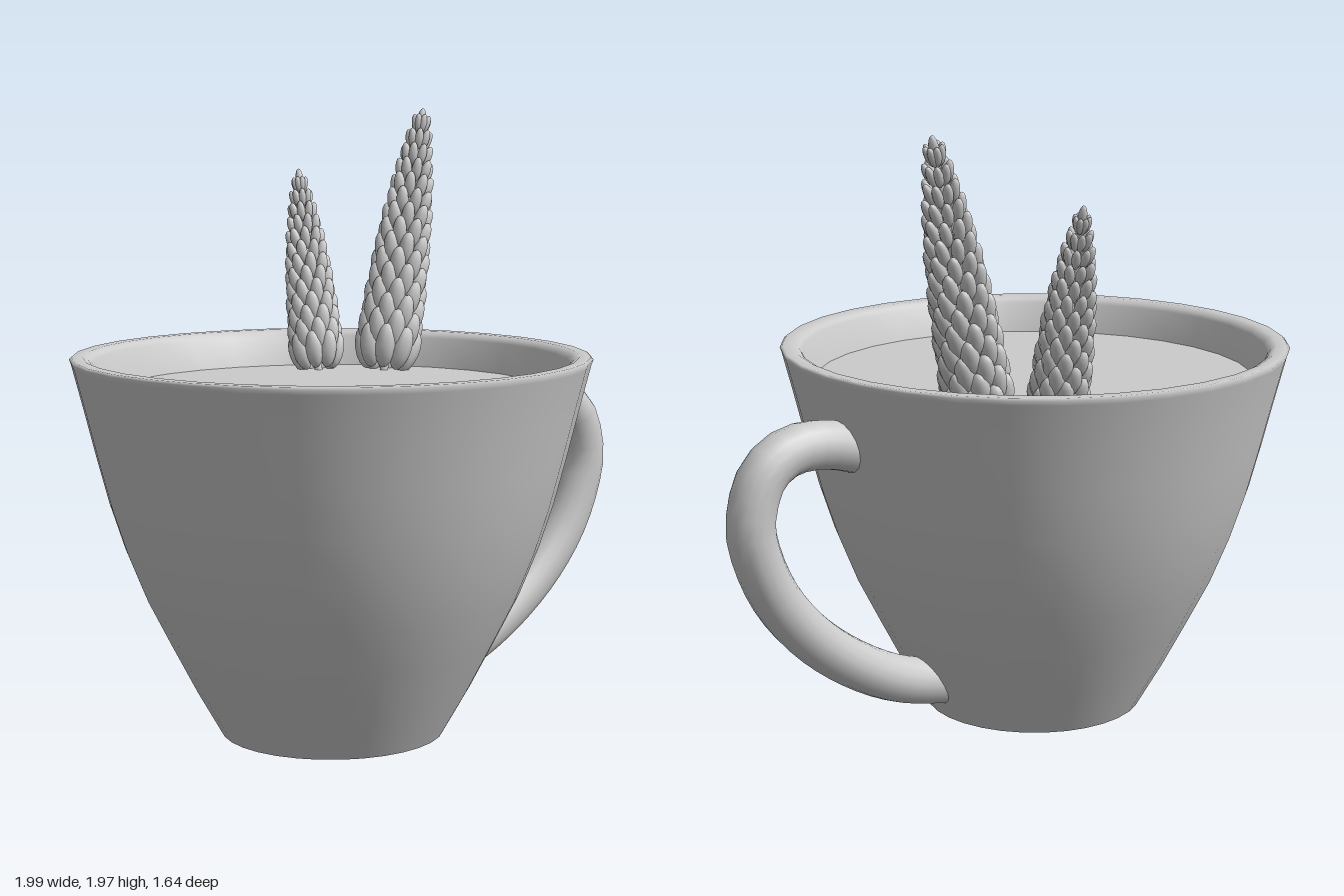
import * as THREE from 'three';

const material = new THREE.MeshStandardMaterial({ color: 0xcccccc });
const UP = new THREE.Vector3(0, 1, 0);
const CUP_X = -0.18;
const SIDES = 32;

function addMesh(parent, name, geometry) {
  const mesh = new THREE.Mesh(geometry, material);
  mesh.name = name;
  parent.add(mesh);
  return mesh;
}

const points2 = (list) => list.map(([r, y]) => new THREE.Vector2(r, y));

function createCup() {
  const cup = new THREE.Group();
  cup.name = 'cup';
  cup.position.x = CUP_X;

  // Outer wall, narrow rounded rim and inner wall in one turned profile
  addMesh(cup, 'cupWall', new THREE.LatheGeometry(points2([
    [0.355, 0], [0.44, 0.15], [0.52, 0.305], [0.593, 0.45], [0.653, 0.6],
    [0.7, 0.745], [0.738, 0.89], [0.775, 1.04], [0.812, 1.185],
    [0.818, 1.2], [0.81, 1.207], [0.775, 1.207], [0.757, 1.198], [0.748, 1.185],
    [0.705, 1.08], [0.66, 0.89], [0.58, 0.6], [0.45, 0.3], [0.34, 0.08], [0, 0.07],
  ]), SIDES));

  const base = addMesh(cup, 'cupBase', new THREE.CircleGeometry(0.355, SIDES));
  base.rotation.x = Math.PI / 2;

  const drink = addMesh(cup, 'drink', new THREE.CircleGeometry(0.71, SIDES));
  drink.rotation.x = -Math.PI / 2;
  drink.position.y = 1.09;
  return cup;
}

// Ear-shaped handle, both ends sunk into the wall
function createHandle() {
  const path = new THREE.CatmullRomCurve3([
    [0.52, 0.96], [0.6, 0.985], [0.69, 1.0], [0.79, 0.99], [0.875, 0.93],
    [0.918, 0.79], [0.893, 0.67], [0.825, 0.53], [0.705, 0.39],
    [0.54, 0.265], [0.37, 0.18], [0.19, 0.135],
  ].map(([x, y]) => new THREE.Vector3(x, y, 0)));
  return new THREE.TubeGeometry(path, 28, 0.076, 16);
}

// Flower spike: rings of upright buds that shrink toward the tip of a stem
function createSpike(name, foot, tip, radius, rings, perRing) {
  const spike = new THREE.Group();
  spike.name = name;
  const start = new THREE.Vector3(...foot);
  const axis = new THREE.Vector3(...tip).sub(start);
  const length = axis.length();
  spike.position.copy(start);
  spike.quaternion.setFromUnitVectors(UP, axis.normalize());

  const stem = addMesh(spike, 'stem', new THREE.CylinderGeometry(0.008, 0.014, length + 0.08, 8));
  stem.position.y = length / 2 - 0.06;

  const budShape = new THREE.SphereGeometry(1, 8, 8);
  for (let i = 0; i < rings; i++) {
    const t = i / (rings - 1);
    const size = 1 - 0.62 * t;
    const spread = radius * (1 - 0.28 * t - 0.42 * t * t * t);
    const halfWidth = radius * 0.29 * size;
    const halfLength = radius * 0.64 * (1 - 0.55 * t);
    const height = 0.06 + t * (length - 0.12);
    for (let j = 0; j < perRing; j++) {
      const angle = ((j + (i % 2) / 2) / perRing) * Math.PI * 2 + i * 0.08;
      const bud = addMesh(spike, 'bud', budShape);
      const out = new THREE.Vector3(Math.cos(angle), 0, Math.sin(angle));
      bud.position.copy(out).multiplyScalar(spread - halfWidth * 1.25).setY(height);
      bud.scale.set(halfWidth, halfLength, halfWidth);
      bud.quaternion.setFromUnitVectors(UP, out.multiplyScalar(0.27).add(UP).normalize());
    }
  }

  // Single bud closing the top
  const end = addMesh(spike, 'tipBud', budShape);
  end.scale.set(radius * 0.13, radius * 0.36, radius * 0.13);
  end.position.y = length - radius * 0.36;
  return spike;
}

export function createModel() {
  const model = new THREE.Group();
  model.name = 'cupWithFlowerSpikes';
  model.add(createCup());
  addMesh(model, 'handle', createHandle());
  model.add(
    createSpike('tallFlowerSpike', [0.305, 1.1, -0.33], [0.572, 1.965, -0.445], 0.118, 15, 8),
    createSpike('shortFlowerSpike', [0.135, 1.09, -0.475], [0.205, 1.76, -0.675], 0.1, 13, 8),
  );
  return model;
}
